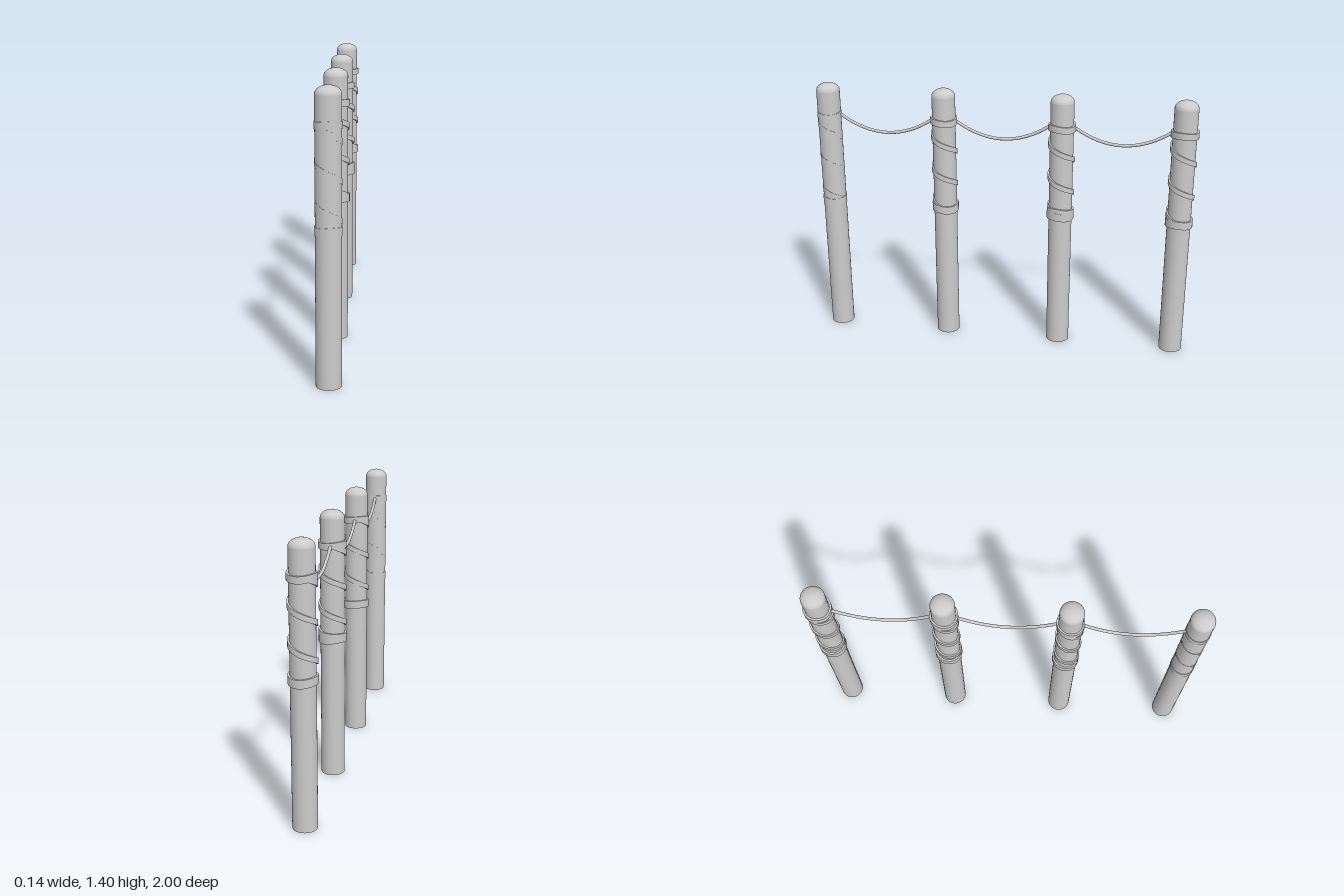
import * as THREE from 'three';
import { toCreasedNormals } from 'three/addons/utils/BufferGeometryUtils.js';

const POST_R = 0.061, POST_H = 1.4, CAP_Y = 1.36, POST_X = -0.002;
const TOP_BAND = 1.228, LOW_BAND = 0.748, PITCH = 0.18;

const grey = new THREE.MeshStandardMaterial({ color: 0xcccccc });
const greyOpen = new THREE.MeshStandardMaterial({ color: 0xcccccc, side: THREE.DoubleSide });

function mesh(geometry, name, material = grey) {
  const m = new THREE.Mesh(geometry, material);
  m.name = name;
  return m;
}

// Flat strap swept around the post: heightAt(angle) gives its centre line, angle 0 faces +z
function strap(from, to, heightAt, outer, width) {
  const steps = Math.ceil((to - from) / (Math.PI / 14));
  const inner = POST_R - 0.002;
  const section = [[inner, -width / 2], [outer, -width / 2], [outer, width / 2], [inner, width / 2]];
  const points = [], index = [];
  for (let i = 0; i <= steps; i++) {
    const a = from + (to - from) * i / steps;
    for (const [r, dy] of section) points.push(r * Math.sin(a), heightAt(a) + dy, r * Math.cos(a));
    if (i === steps) continue;
    for (let k = 0; k < 4; k++) {
      const p = i * 4 + k, q = i * 4 + (k + 1) % 4;
      index.push(p, p + 4, q, q, p + 4, q + 4);
    }
  }
  // End caps
  const e = steps * 4;
  index.push(0, 1, 2, 0, 2, 3, e, e + 2, e + 1, e, e + 3, e + 2);
  const g = new THREE.BufferGeometry();
  g.setAttribute('position', new THREE.Float32BufferAttribute(points, 3));
  g.setIndex(index);
  return toCreasedNormals(g, 0.7);
}

// Post with domed cap and its wrapped strap
function makePost(z, strapR, shift, lowWraps) {
  const post = new THREE.Group();
  post.name = 'post';
  post.position.set(POST_X, 0, z);

  const shaft = mesh(new THREE.CylinderGeometry(POST_R, POST_R, CAP_Y, 32, 1, true), 'shaft', greyOpen);
  shaft.position.y = CAP_Y / 2;
  post.add(shaft);

  const dome = [];
  for (let i = 0; i <= 8; i++) {
    const t = i / 8 * Math.PI / 2;
    dome.push(new THREE.Vector2(POST_R * Math.cos(t), CAP_Y + (POST_H - CAP_Y) * Math.sin(t)));
  }
  dome[8].x = 0;
  post.add(mesh(new THREE.LatheGeometry(dome, 32), 'cap', greyOpen));

  // Spiral between the two bands, dropping one pitch per turn
  const drop = PITCH / (2 * Math.PI);
  const spiral = a => 1.11 + shift - (a - Math.PI / 2) * drop;
  const angleAt = y => Math.PI / 2 + (1.11 + shift - y) / drop;
  post.add(mesh(strap(angleAt(TOP_BAND), angleAt(LOW_BAND), spiral, strapR, 0.028), 'spiralStrap'));

  // Bands, slightly wavy as if wound by hand
  const band = y => a => y + 0.004 * Math.sin(a * 2 + z);
  post.add(mesh(strap(0, 2 * Math.PI, band(TOP_BAND), strapR + 0.001, 0.034), 'topBand'));
  for (let i = 0; i < lowWraps; i++) {
    const tilt = a => band(LOW_BAND)(a) + i * (0.022 + 0.012 * Math.sin(a));
    post.add(mesh(strap(0, 2 * Math.PI, tilt, strapR + 0.001, i ? 0.024 : 0.042), 'lowerBand'));
  }
  return post;
}

// Sagging rope between two neighbouring posts
function makeRope(zA, zB) {
  const points = [];
  for (let i = 0; i <= 12; i++) {
    const t = i / 12 * 2 - 1;
    points.push(new THREE.Vector3(-0.006, 1.143 + 0.09 * t * t, (zA + zB) / 2 + t * (zB - zA) / 2));
  }
  return mesh(new THREE.TubeGeometry(new THREE.CatmullRomCurve3(points), 32, 0.0085, 8), 'rope');
}

export function createModel() {
  const model = new THREE.Group();
  model.name = 'ropeFence';
  // z, strap outer radius, spiral shift, windings in the lower band
  const posts = [
    [0.938, 0.0625, 0.04, 1],
    [0.317, 0.069, 0, 1],
    [-0.303, 0.07, -0.01, 2],
    [-0.924, 0.07, 0, 1],
  ];
  posts.forEach((p, i) => {
    model.add(makePost(...p));
    if (i > 0) model.add(makeRope(posts[i - 1][0] - POST_R + 0.005, p[0] + POST_R - 0.005));
  });
  return model;
}
